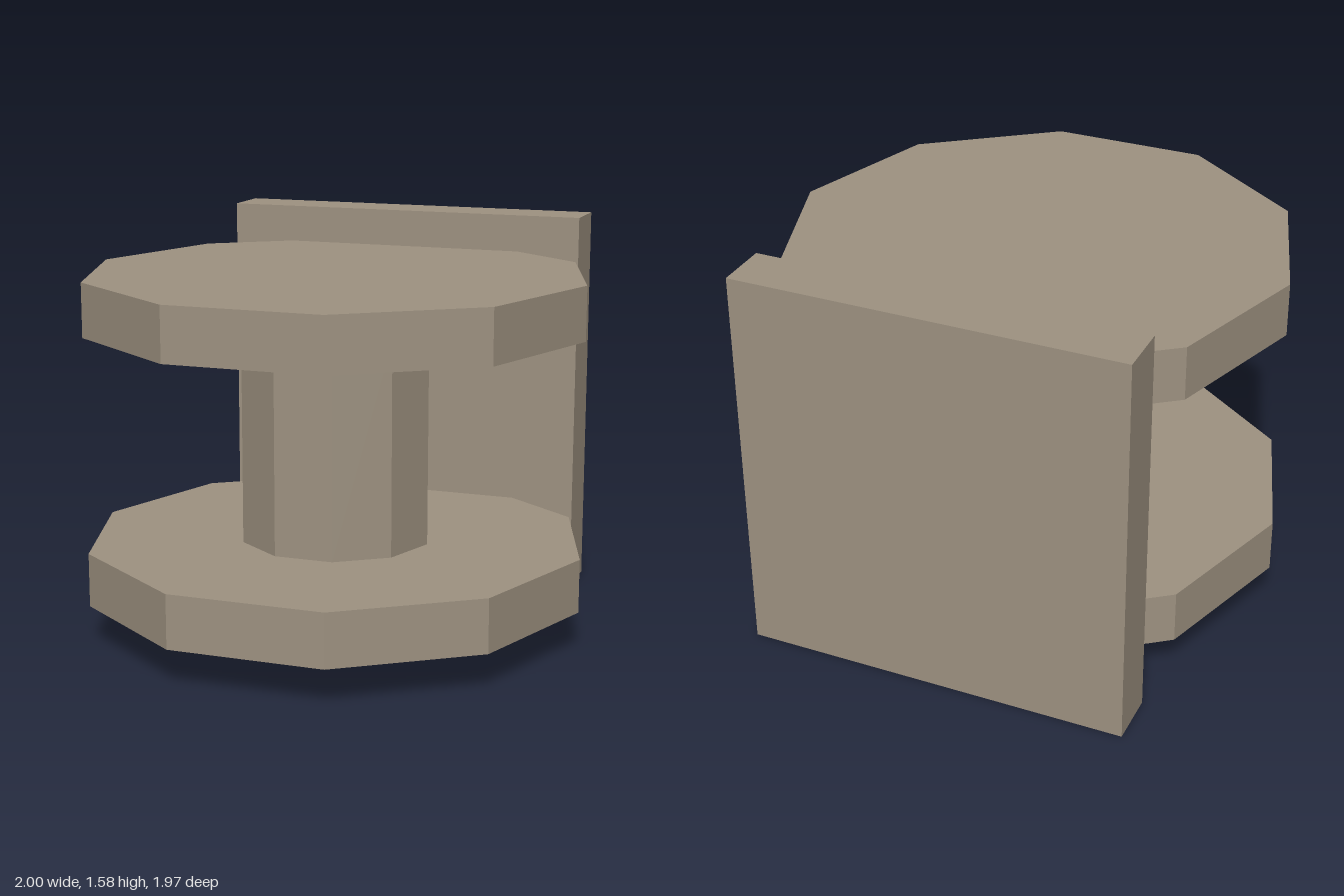
import * as THREE from 'three';

export function createModel() {
  const model = new THREE.Group();
  const stone = new THREE.MeshStandardMaterial({ color: 0x9e9281, flatShading: true });
  stone.name = 'taupe';

  const add = (name, geometry, y, z) => {
    const mesh = new THREE.Mesh(geometry, stone);
    mesh.name = name;
    mesh.position.set(0, y, z);
    model.add(mesh);
  };

  // Ten-sided prism with corners pointing along +x and -x
  const decagon = (radius, height) =>
    new THREE.CylinderGeometry(radius, radius, height, 10, 1, false, Math.PI / 10);

  const axisZ = 0.035;

  // Two flanges joined by a central post; their back edges sink into the plate
  add('lowerFlange', decagon(1, 0.213), 0.257, axisZ);
  add('upperFlange', decagon(1, 0.213), 1.322, axisZ);
  add('post', decagon(0.383, 0.853), 0.79, axisZ);

  // Upright mounting plate at the back
  add('backPlate', new THREE.BoxGeometry(1.534, 1.58, 0.212), 0.79, -0.88);

  return model;
}
